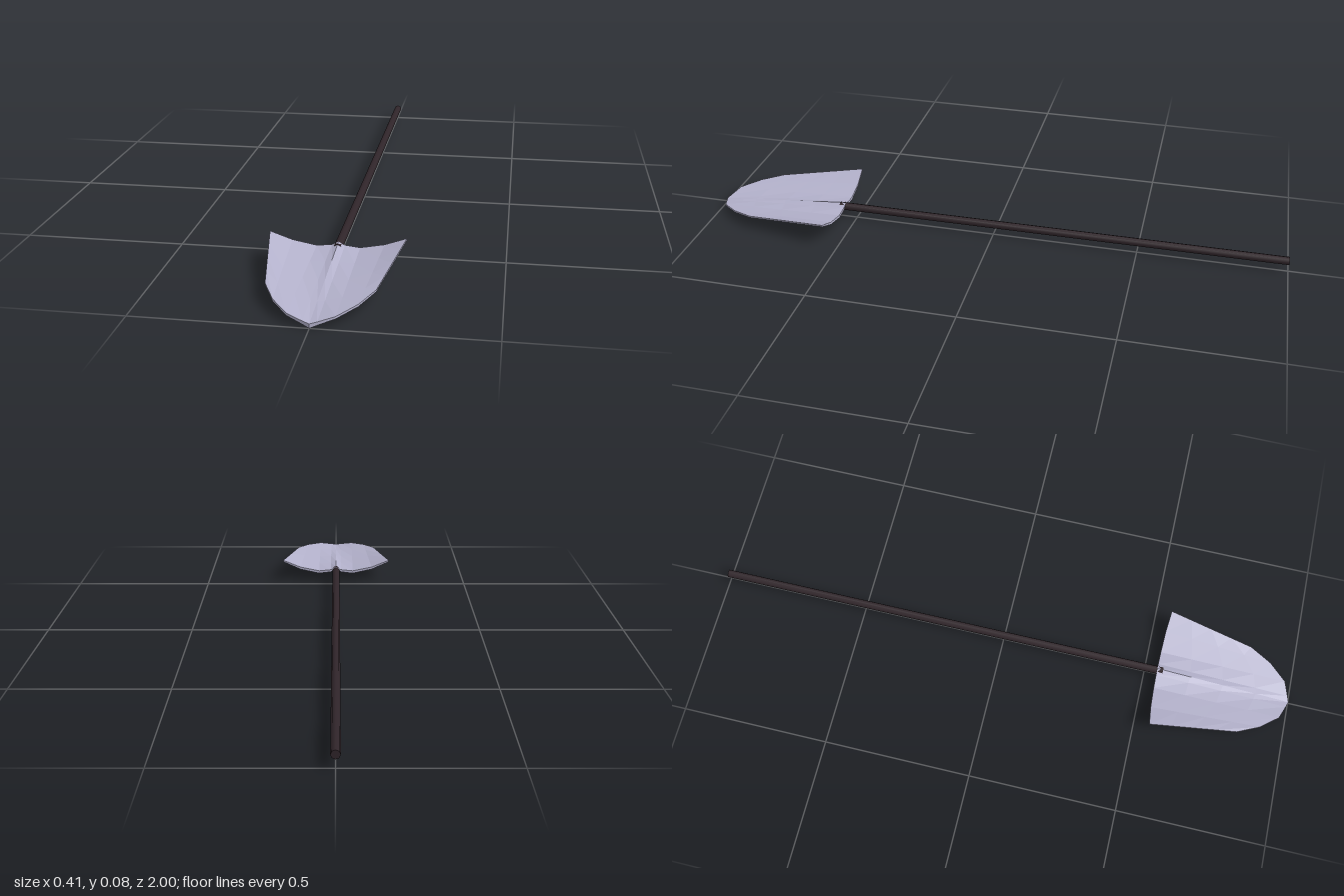
import * as THREE from 'three';

// half-blade columns, from centre ridge to outer edge: [x, top y, bottom y, z]
const BACK = [
  [0, 0.055, 0.046, 0.54], [0.02, 0.045, 0.036, 0.54], [0.066, 0.04, 0.03, 0.541],
  [0.14, 0.055, 0.046, 0.543], [0.207, 0.081, 0.075, 0.548],
];
const FRONT = [
  [0, 0.013, 0, 1], [0.02, 0.017, 0.007, 0.993], [0.066, 0.027, 0.02, 0.975],
  [0.117, 0.037, 0.03, 0.915], [0.155, 0.047, 0.041, 0.84],
];
const ROWS = 4;

// mirror a half profile into a full one running from -x to +x
function mirrored(half) {
  const left = half.slice(1).reverse().map(([x, ...rest]) => [-x, ...rest]);
  return [...left, ...half];
}

function bladeGeometry() {
  const back = mirrored(BACK), front = mirrored(FRONT), cols = back.length;
  const positions = [], index = [];
  const at = (row, col, under) => (row * cols + col) * 2 + under;
  for (let r = 0; r <= ROWS; r++) {
    for (let c = 0; c < cols; c++) {
      const [x, top, bottom, z] = back[c].map((v, k) => THREE.MathUtils.lerp(v, front[c][k], r / ROWS));
      positions.push(x, top, z, x, bottom, z);
    }
  }
  const quad = (a, b, c, d) => index.push(a, b, c, a, c, d);
  for (let r = 0; r < ROWS; r++) {
    // upper and lower skins
    for (let c = 0; c < cols - 1; c++) {
      quad(at(r, c, 0), at(r + 1, c, 0), at(r + 1, c + 1, 0), at(r, c + 1, 0));
      quad(at(r, c, 1), at(r, c + 1, 1), at(r + 1, c + 1, 1), at(r + 1, c, 1));
    }
    // side rims
    const e = cols - 1;
    quad(at(r, 0, 0), at(r, 0, 1), at(r + 1, 0, 1), at(r + 1, 0, 0));
    quad(at(r, e, 0), at(r + 1, e, 0), at(r + 1, e, 1), at(r, e, 1));
  }
  // back and front rims
  for (let c = 0; c < cols - 1; c++) {
    quad(at(0, c, 0), at(0, c + 1, 0), at(0, c + 1, 1), at(0, c, 1));
    quad(at(ROWS, c, 0), at(ROWS, c, 1), at(ROWS, c + 1, 1), at(ROWS, c + 1, 0));
  }
  const indexed = new THREE.BufferGeometry();
  indexed.setAttribute('position', new THREE.Float32BufferAttribute(positions, 3));
  indexed.setIndex(index);
  const flat = indexed.toNonIndexed();
  flat.computeVertexNormals();
  return flat;
}

export function createModel() {
  const steel = new THREE.MeshStandardMaterial({ color: 0xb4b2cc });
  steel.name = 'pale steel';
  const wood = new THREE.MeshStandardMaterial({ color: 0x30252a });
  wood.name = 'dark wood';

  const group = new THREE.Group();
  group.name = 'shovel';

  const blade = new THREE.Mesh(bladeGeometry(), steel);
  blade.name = 'blade';
  group.add(blade);

  // straight round handle, ending just under the blade's ridge
  const start = -1, end = 0.56;
  const shaft = new THREE.CylinderGeometry(0.014, 0.014, end - start, 8).rotateX(Math.PI / 2);
  const handle = new THREE.Mesh(shaft, wood);
  handle.name = 'handle';
  handle.position.set(0, 0.04, (start + end) / 2);
  group.add(handle);

  return group;
}
